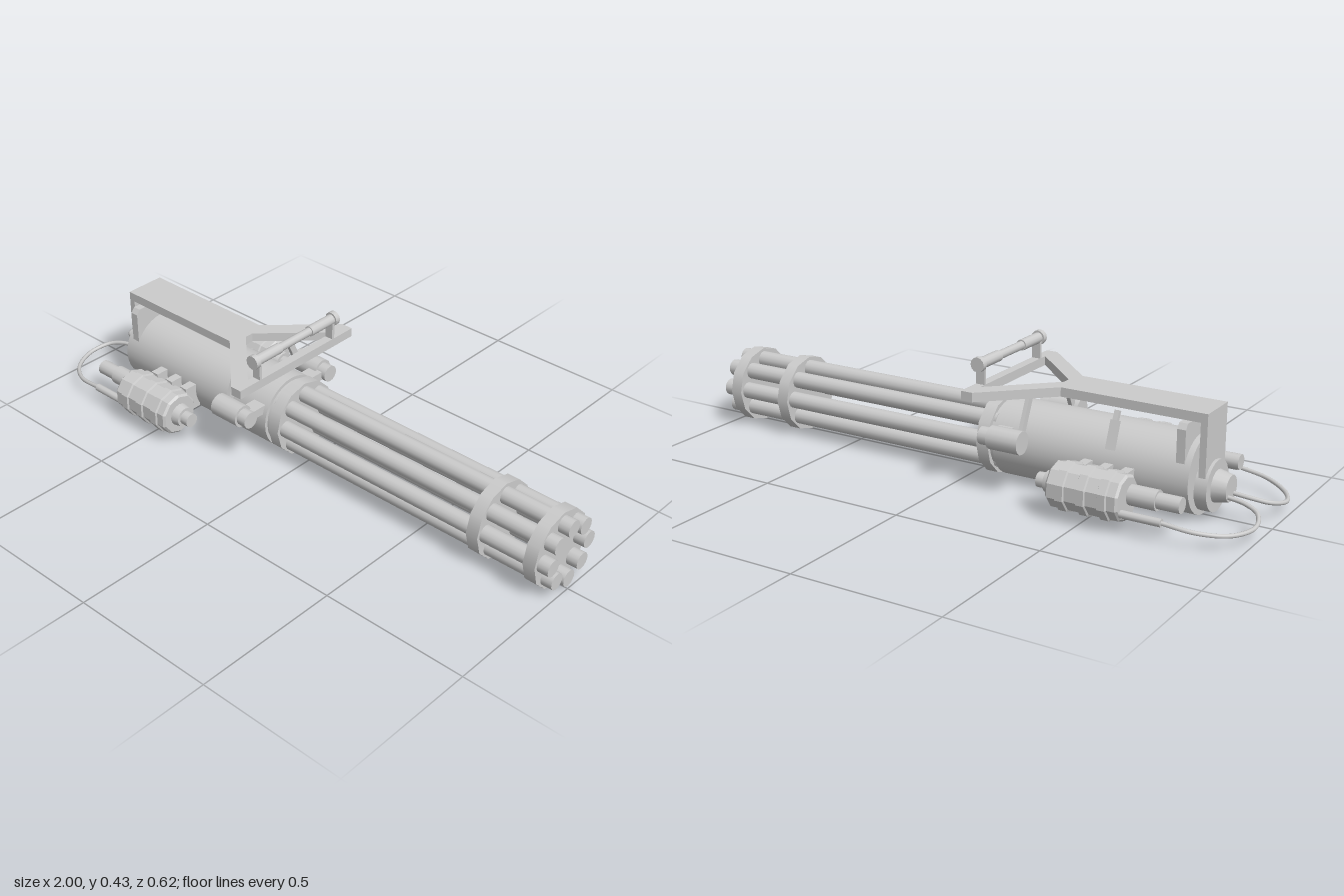
import * as THREE from 'three';

const grey = new THREE.MeshStandardMaterial({ color: 0xcccccc });
const CY = 0.13; // height of the barrel axis

export function createModel() {
  const root = new THREE.Group();

  function add(name, geo, x = 0, y = 0, z = 0, parent = root) {
    const mesh = new THREE.Mesh(geo, grey);
    mesh.name = name;
    mesh.position.set(x, y, z);
    parent.add(mesh);
    return mesh;
  }
  // Cylinder along x from x0 to x1, with one corner pointing up
  function rod(name, x0, x1, y, z, r, sides = 16, rFront = r, parent = root) {
    const geo = new THREE.CylinderGeometry(rFront, r, x1 - x0, sides);
    geo.rotateZ(-Math.PI / 2).rotateX(Math.PI / 2);
    return add(name, geo, (x0 + x1) / 2, y, z, parent);
  }
  // Box given by its limits
  function box(name, x0, x1, y0, y1, z0, z1, parent = root) {
    return add(name, new THREE.BoxGeometry(x1 - x0, y1 - y0, z1 - z0),
      (x0 + x1) / 2, (y0 + y1) / 2, (z0 + z1) / 2, parent);
  }
  // Square bar between two points
  function strut(name, a, b, w, d, parent = root) {
    const p = new THREE.Vector3(...a), q = new THREE.Vector3(...b);
    const mid = p.clone().add(q).multiplyScalar(0.5);
    const mesh = add(name, new THREE.BoxGeometry(w, p.distanceTo(q), d), mid.x, mid.y, mid.z, parent);
    mesh.quaternion.setFromUnitVectors(new THREE.Vector3(0, 1, 0), q.sub(p).normalize());
    return mesh;
  }

  // Housing and its stepped rear
  rod('housing', -0.78, -0.11, CY, 0, 0.126, 32);
  rod('housingNeck', -0.11, -0.09, CY, 0, 0.115, 24);
  rod('rearStep', -0.82, -0.78, 0.1, 0, 0.082, 20);
  rod('rearHub', -0.865, -0.82, 0.1, 0, 0.042, 16, 0.052);

  // Eight barrels held by three discs
  for (let i = 0; i < 8; i++) {
    const a = (i * Math.PI) / 4;
    rod('barrel', -0.1, 1, CY + 0.091 * Math.cos(a), 0.091 * Math.sin(a), 0.028, 14);
  }
  for (const x of [-0.092, 0.715, 0.92]) rod('barrelDisc', x, x + 0.042, CY, 0, 0.13, 12);

  // Carrying frame: flat bar that forks into a triangle
  const frame = new THREE.Shape();
  [[-0.81, -0.07], [-0.32, -0.07], [-0.12, -0.262], [-0.08, -0.262], [-0.08, 0.262],
    [-0.12, 0.262], [-0.32, 0.07], [-0.81, 0.07]]
    .forEach(([x, z], i) => (i ? frame.lineTo(x, z) : frame.moveTo(x, z)));
  const gap = new THREE.Path();
  [[-0.3, -0.015], [-0.3, 0.015], [-0.11, 0.198], [-0.11, -0.198]]
    .forEach(([x, z], i) => (i ? gap.lineTo(x, z) : gap.moveTo(x, z)));
  frame.holes.push(gap);
  const frameGeo = new THREE.ExtrudeGeometry(frame, { depth: 0.03, bevelEnabled: false });
  frameGeo.rotateX(-Math.PI / 2);
  add('carryingFrame', frameGeo, 0, 0.312, 0);
  box('rearPlate', -0.81, -0.788, 0.12, 0.33, -0.07, 0.07);

  // Upright panel with clipped corners under the bar
  const panel = new THREE.Shape([[-0.11, 0.13], [0.11, 0.13], [0.11, 0.295], [0.097, 0.312],
    [-0.097, 0.312], [-0.11, 0.295]].map(([z, y]) => new THREE.Vector2(z, y)));
  const panelGeo = new THREE.ExtrudeGeometry(panel, { depth: 0.028, bevelEnabled: false });
  panelGeo.rotateY(Math.PI / 2);
  add('supportPanel', panelGeo, -0.76, 0, 0);

  // Grip across the front of the frame
  function gripPart(name, z0, z1, r, sides) {
    const geo = new THREE.CylinderGeometry(r, r, z1 - z0, sides).rotateX(Math.PI / 2);
    add(name, geo, -0.095, 0.408, (z0 + z1) / 2);
  }
  gripPart('gripCore', -0.08, 0.08, 0.014, 10);
  for (const s of [-1, 1]) {
    gripPart('gripSleeve', Math.min(s * 0.07, s * 0.177), Math.max(s * 0.07, s * 0.177), 0.018, 12);
    gripPart('gripCap', Math.min(s * 0.175, s * 0.193), Math.max(s * 0.175, s * 0.193), 0.024, 12);
    box('gripPost', -0.11, -0.08, 0.335, 0.408, s * 0.17 - 0.005, s * 0.17 + 0.005);
  }

  // Lever on the right side of the housing
  strut('lever', [-0.53, 0.312, -0.095], [-0.53, 0.27, -0.115], 0.016, 0.014);
  strut('leverBlade', [-0.53, 0.285, -0.108], [-0.53, 0.2, -0.14], 0.026, 0.018);

  // Canister outline: plain drum with three straps
  const drum = [[0, -0.64], [0.066, -0.64], [0.073, -0.633]];
  for (const x of [-0.59, -0.52, -0.45])
    drum.push([0.073, x - 0.016], [0.079, x - 0.013], [0.079, x + 0.013], [0.073, x + 0.016]);
  drum.push([0.073, -0.407], [0.066, -0.4], [0, -0.4]);

  // Equipment on both sides
  for (const s of [1, -1]) {
    const side = new THREE.Group();
    side.name = s > 0 ? 'leftEquipment' : 'rightEquipment';
    root.add(side);
    const Z = s * 0.235;

    const drumGeo = new THREE.LatheGeometry(drum.map(([r, x]) => new THREE.Vector2(r, x)), 10);
    drumGeo.rotateZ(-Math.PI / 2).rotateX(Math.PI / 2);
    const flat = drumGeo.toNonIndexed();
    flat.computeVertexNormals();
    add('canister', flat, 0, 0.1, Z, side);
    rod('canisterCollar', -0.4, -0.372, 0.1, Z, 0.039, 16, 0.034, side);
    rod('canisterNozzle', -0.372, -0.342, 0.1, Z, 0.024, 14, 0.024, side);
    rod('rearSleeve', -0.73, -0.635, 0.105, s * 0.213, 0.032, 14, 0.032, side);
    rod('rearPlug', -0.805, -0.73, 0.105, s * 0.213, 0.025, 14, 0.025, side);
    rod('cableSocket', -0.77, -0.635, 0.065, s * 0.275, 0.013, 10, 0.013, side);

    // Mounts joining the canister to the housing
    for (const x of [-0.59, -0.52, -0.45])
      box('canisterMount', x - 0.015, x + 0.015, 0.06, 0.15, s * 0.14 - 0.03, s * 0.14 + 0.03, side);

    // Looping cable
    const path = new THREE.CatmullRomCurve3([[-0.765, 0.065, 0.275], [-0.87, 0.052, 0.262],
      [-0.955, 0.042, 0.205], [-0.993, 0.045, 0.12], [-0.97, 0.06, 0.05], [-0.92, 0.072, 0.026],
      [-0.85, 0.08, 0.02]].map(([x, y, z]) => new THREE.Vector3(x, y, s * z)));
    add('cable', new THREE.TubeGeometry(path, 36, 0.007, 8), 0, 0, 0, side);

    // Small tube beside the housing, with its arm and brace
    rod('sideTube', -0.255, -0.145, 0.184, s * 0.19, 0.038, 14, 0.038, side);
    rod('sideTubeFront', -0.145, -0.11, 0.184, s * 0.19, 0.029, 14, 0.029, side);
    box('sideTubeArm', -0.175, -0.125, 0.166, 0.196, s * 0.135 - 0.035, s * 0.135 + 0.035, side);
    strut('frameBrace', [-0.235, 0.318, s * 0.11], [-0.235, 0.2, s * 0.162], 0.014, 0.022, side);
  }
  return root;
}
